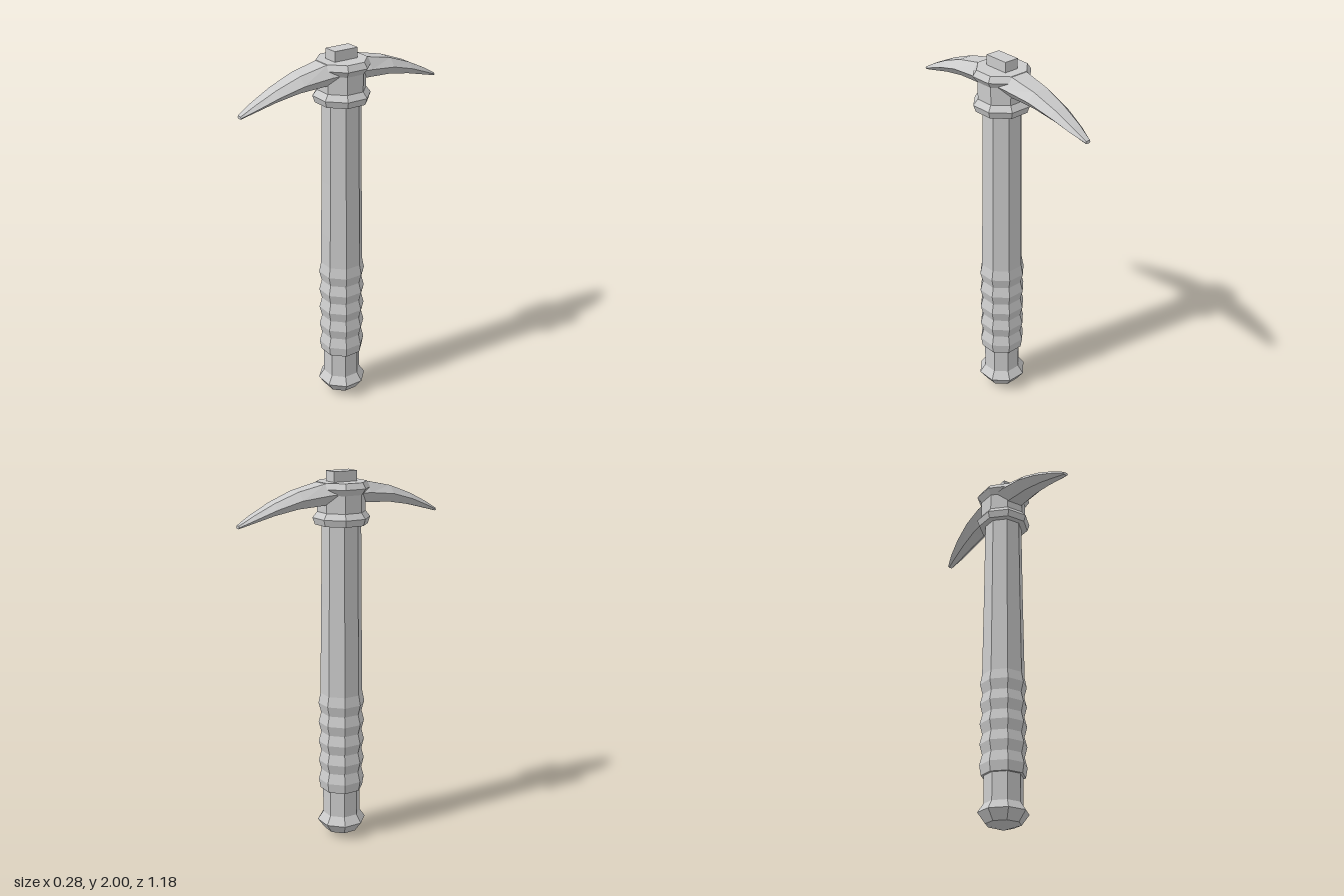
import * as THREE from 'three';

const material = new THREE.MeshStandardMaterial({ color: 0xcccccc, flatShading: true, roughness: 0.8 });

function addMesh(parent, name, geometry) {
  const mesh = new THREE.Mesh(geometry, material);
  mesh.name = name;
  parent.add(mesh);
  return mesh;
}

// Eight-sided turned part with flats on the axes; profile is [apothem, y] from the bottom up
function octagonal(profile) {
  const k = 1 / Math.cos(Math.PI / 8);
  const points = profile.map(([r, y]) => new THREE.Vector2(r * k, y));
  return new THREE.LatheGeometry(points, 8, Math.PI / 8);
}

// Curved spike running along +z, with a six-cornered section that shrinks to the tip.
// Row: z, top half width, middle half width, bottom half width, top y, middle y, bottom y
function spikeGeometry() {
  const rows = [
    [0.0, 0.05, 0.095, 0.045, 1.94, 1.892, 1.837],
    [0.12, 0.049, 0.094, 0.044, 1.945, 1.89, 1.836],
    [0.27, 0.041, 0.081, 0.036, 1.913, 1.873, 1.827],
    [0.4, 0.032, 0.063, 0.027, 1.865, 1.836, 1.803],
    [0.51, 0.023, 0.041, 0.018, 1.812, 1.793, 1.774],
    [0.588, 0.012, 0.016, 0.01, 1.768, 1.76, 1.753],
  ];
  const positions = [];
  const index = [];
  rows.forEach(([z, a, w, c, top, mid, low], r) => {
    positions.push(a, top, z, -a, top, z, -w, mid, z, -c, low, z, c, low, z, w, mid, z);
    if (r === rows.length - 1) return;
    for (let i = 0; i < 6; i++) {
      const p = r * 6 + i;
      const q = r * 6 + ((i + 1) % 6);
      index.push(p, q, p + 6, q, q + 6, p + 6);
    }
  });
  // Blunt tip
  const last = (rows.length - 1) * 6;
  for (let i = 1; i < 5; i++) index.push(last, last + i, last + i + 1);
  const geometry = new THREE.BufferGeometry();
  geometry.setAttribute('position', new THREE.Float32BufferAttribute(positions, 3));
  geometry.setIndex(index);
  geometry.computeVertexNormals();
  return geometry;
}

export function createModel() {
  const model = new THREE.Group();
  model.name = 'pickaxe';

  // Pommel and the plain neck above it
  addMesh(model, 'pommel', octagonal([
    [0, 0], [0.085, 0.03], [0.122, 0.085], [0.094, 0.13], [0.094, 0.29],
  ]));

  // Grip with five ridges
  const grip = [[0.09, 0.275], [0.107, 0.275]];
  for (let i = 0; i < 5; i++) {
    const y = 0.328 + i * 0.11;
    grip.push([0.115, y], [i < 4 ? 0.102 : 0.105, y + 0.055]);
  }
  addMesh(model, 'grip', octagonal(grip));

  // Slightly tapering shaft
  addMesh(model, 'shaft', octagonal([[0.105, 0.823], [0.103, 1.0], [0.099, 1.3], [0.095, 1.75]]));

  // Collar with a flared rim at each end
  addMesh(model, 'collar', octagonal([
    [0, 1.73], [0.127, 1.73], [0.138, 1.765], [0.116, 1.795],
    [0.116, 1.885], [0.139, 1.917], [0.121, 1.947], [0, 1.947],
  ]));

  // End of the shaft showing through the collar
  const peg = addMesh(model, 'peg', new THREE.BoxGeometry(0.08, 0.08, 0.136));
  peg.position.y = 1.96;

  // Front and back spikes
  const spike = spikeGeometry();
  addMesh(model, 'frontSpike', spike);
  addMesh(model, 'backSpike', spike).rotation.y = Math.PI;

  return model;
}
